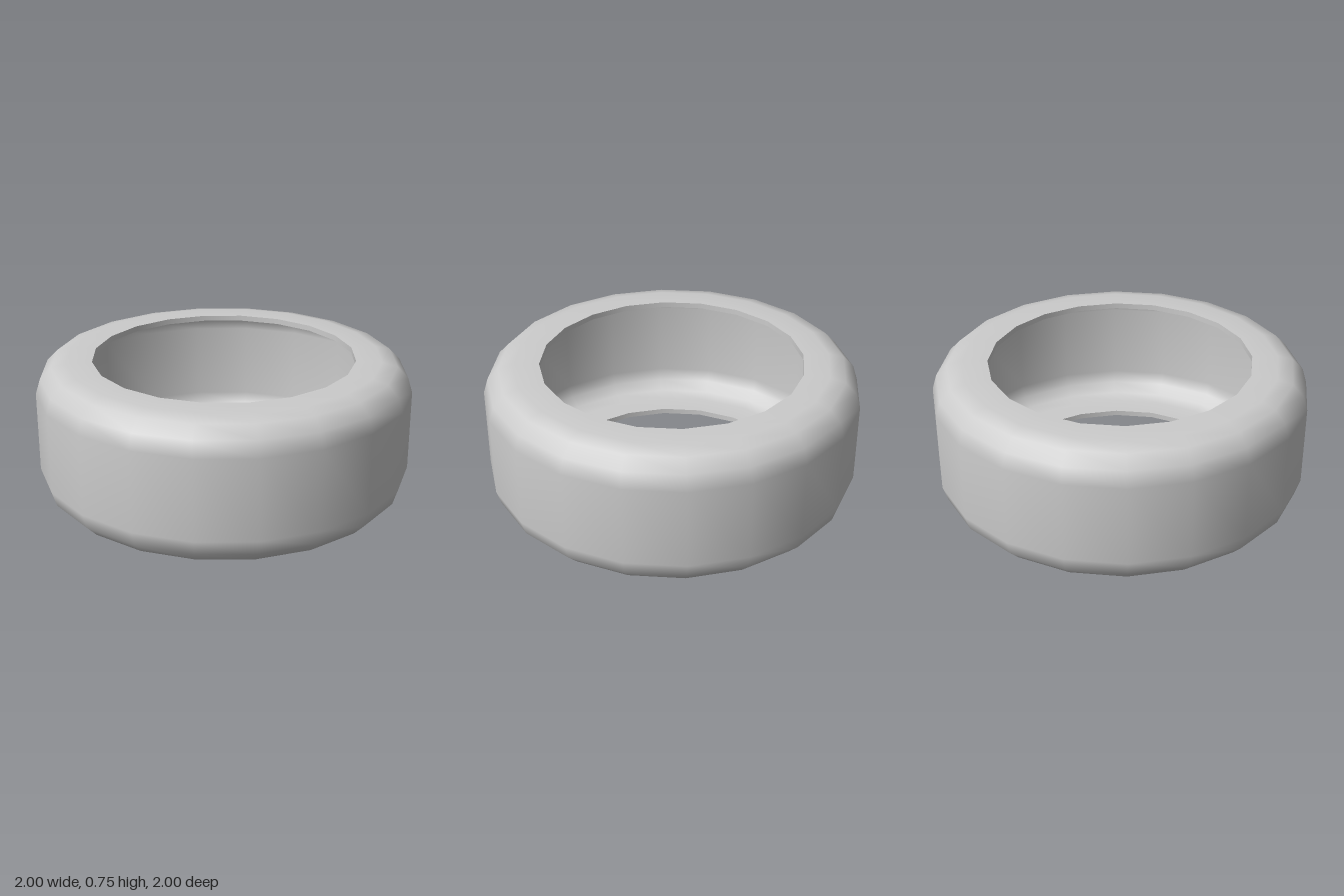
import * as THREE from 'three';

const SIDES = 20;
const HEIGHT = 0.75;
const BORE = 0.7;
const WALL = 0.03;

// Half profile from the equator side to the bore, mirrored about mid height.
function mirrored(upper) {
  const lower = upper.map(([r, y]) => [r, HEIGHT - y]).reverse();
  return [...lower, ...upper];
}

export function createModel() {
  const tire = new THREE.Group();
  tire.name = 'tire';
  const material = new THREE.MeshStandardMaterial({ color: 0xcccccc });

  // Separate lathes keep the bead edges sharp while each surface stays smooth.
  function addLathe(name, profile) {
    const points = profile.map(([r, y]) => new THREE.Vector2(r, y));
    const mesh = new THREE.Mesh(new THREE.LatheGeometry(points, SIDES), material);
    mesh.name = name;
    tire.add(mesh);
  }

  // Tread, rounded shoulders and flat sidewalls
  addLathe('outerSurface', mirrored([
    [1, 0.59], [0.975, 0.67], [0.917, 0.73], [0.836, HEIGHT], [BORE, HEIGHT],
  ]));

  // Hollow inside, running top to bottom so that it faces the axis
  addLathe('innerSurface', mirrored([
    [0.97, 0.585], [0.948, 0.652], [0.9, 0.702], [0.83, HEIGHT - WALL], [BORE, HEIGHT - WALL],
  ]).reverse());

  // Thin bead edges around both openings
  addLathe('upperBead', [[BORE, HEIGHT], [BORE, HEIGHT - WALL]]);
  addLathe('lowerBead', [[BORE, WALL], [BORE, 0]]);

  return tire;
}
